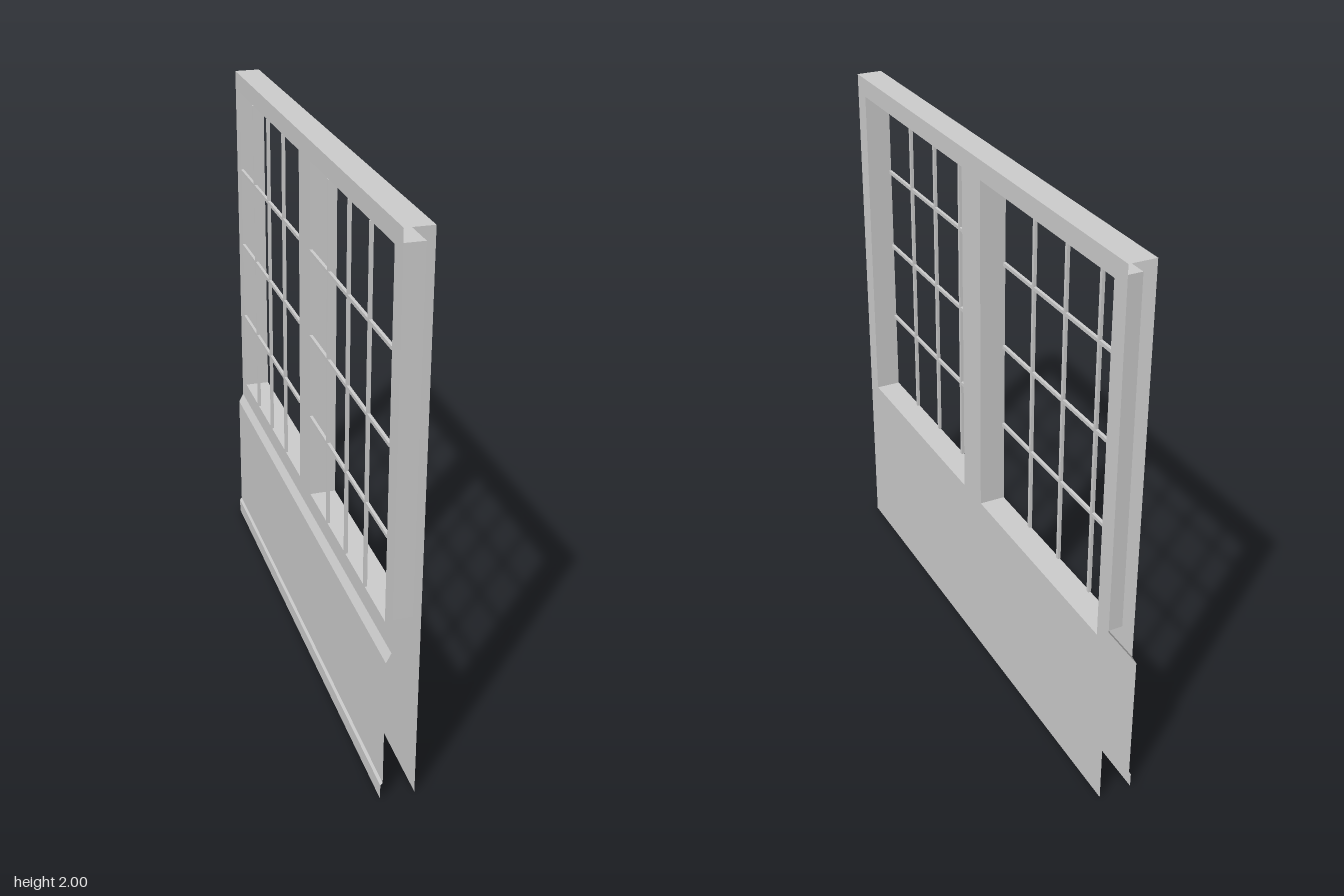
import * as THREE from 'three';

const material = new THREE.MeshStandardMaterial({ color: 0xcccccc, side: THREE.DoubleSide });

// Wall section, from front to back
const FRONT = 0.061, BACK = -0.035, DADO = -0.053, SKIRT = -0.061;
const HEIGHT = 2, LEDGE = 0.585;
// Window openings, mirrored in z
const Z0 = 0.07, Z1 = 0.93, Y0 = 0.66, Y1 = 1.93;
const BAR = 0.013;

function add(parent, name, geometry) {
  const mesh = new THREE.Mesh(geometry, material);
  mesh.name = name;
  parent.add(mesh);
  return mesh;
}

// Flat-shaded strip of quads between two rows of [x, y, z] points
function strip(a, b) {
  const pos = [];
  for (let i = 0; i < a.length - 1; i++) {
    pos.push(...a[i], ...b[i], ...b[i + 1], ...a[i], ...b[i + 1], ...a[i + 1]);
  }
  const g = new THREE.BufferGeometry();
  g.setAttribute('position', new THREE.Float32BufferAttribute(pos, 3));
  g.computeVertexNormals();
  return g;
}

// Section line run along the whole wall
function run(profile) {
  return strip(profile.map(([x, y]) => [x, y, 1]), profile.map(([x, y]) => [x, y, -1]));
}

function rectangle(path, x0, y0, x1, y1) {
  path.moveTo(x0, y0).lineTo(x1, y0).lineTo(x1, y1).lineTo(x0, y1).closePath();
  return path;
}

// Upright wall face with both window openings cut out
function wallFace(bottom, side, x) {
  const shape = rectangle(new THREE.Shape(), -1, bottom, 1, HEIGHT);
  for (const s of [-1, 1]) {
    const a = Math.min(s * Z0, s * Z1), b = Math.max(s * Z0, s * Z1);
    shape.holes.push(rectangle(new THREE.Path(), a, Y0, b, Y1));
  }
  return new THREE.ShapeGeometry(shape).rotateY(side * Math.PI / 2).translate(x, 0, 0);
}

// Reveal and glazing bars of one opening
function makeWindow(a, b) {
  const group = new THREE.Group();
  const loop = x => [[x, Y0, a], [x, Y0, b], [x, Y1, b], [x, Y1, a], [x, Y0, a]];
  add(group, 'windowReveal', strip(loop(FRONT), loop(BACK)));

  const barX = BACK + 0.003, depth = 0.011;
  for (let i = 1; i < 4; i++) {
    const upright = add(group, 'verticalBar', new THREE.BoxGeometry(depth, Y1 - Y0, BAR));
    upright.position.set(barX, (Y0 + Y1) / 2, a + (b - a) * i / 4);
    const rail = add(group, 'horizontalBar', new THREE.BoxGeometry(depth, BAR, b - a));
    rail.position.set(barX, Y0 + (Y1 - Y0) * i / 4, (a + b) / 2);
  }
  return group;
}

export function createModel() {
  const model = new THREE.Group();
  model.name = 'windowWall';

  // Shell, open at both ends and underneath
  add(model, 'frontWall', wallFace(0, 1, FRONT));
  add(model, 'backWall', wallFace(LEDGE, -1, BACK));
  add(model, 'wallTop', run([[FRONT, HEIGHT], [BACK, HEIGHT]]));
  add(model, 'dadoPanel', run([[BACK, LEDGE], [DADO, 0.55], [DADO, 0.065]]));
  add(model, 'skirting', run([[DADO, 0.065], [SKIRT, 0.055], [SKIRT, 0]]));

  // Pair of windows
  for (const [a, b, name] of [[Z0, Z1, 'frontWindow'], [-Z1, -Z0, 'rearWindow']]) {
    const win = makeWindow(a, b);
    win.name = name;
    model.add(win);
  }
  return model;
}
